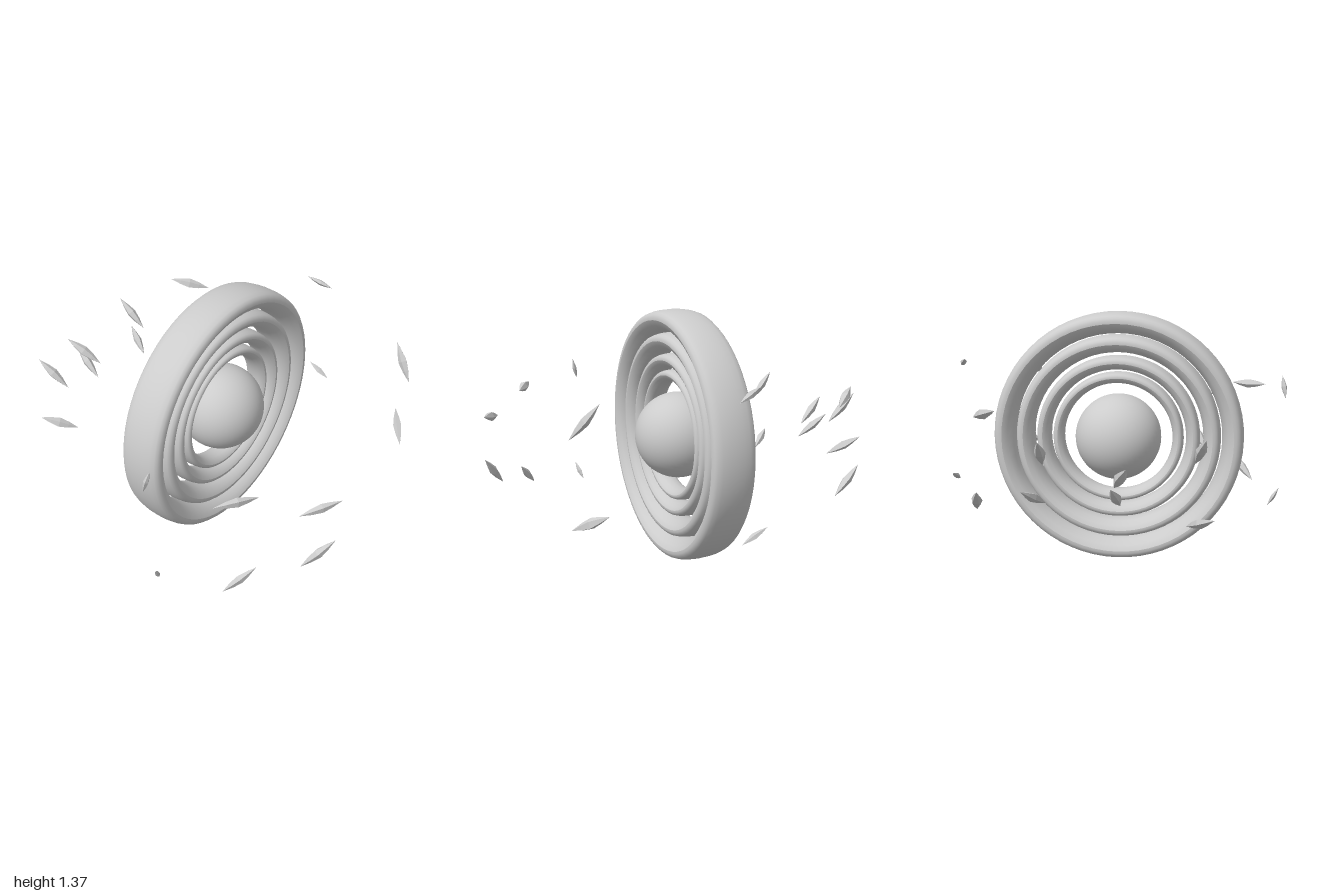
import * as THREE from 'three';

const grey = new THREE.MeshStandardMaterial({ color: 0xcccccc });
grey.name = 'grey';
const facetedGrey = grey.clone();
facetedGrey.flatShading = true;

// Ring cross-sections as [radius, depth] for the largest ring
const outerProfile = [
  [0.628, -0.118], [0.642, -0.118], [0.656, -0.112], [0.668, -0.1], [0.676, -0.075], [0.681, -0.04], [0.683, 0],
  [0.681, 0.04], [0.676, 0.075], [0.668, 0.1], [0.656, 0.112], [0.642, 0.118], [0.628, 0.118],
];
const innerProfile = [
  [0.628, 0.118], [0.598, 0.1], [0.575, 0.06], [0.566, 0],
  [0.575, -0.06], [0.598, -0.1], [0.628, -0.118],
];

function spun(profile, scale, name) {
  const pts = profile.map(([r, d]) => new THREE.Vector2(r * scale, d * scale));
  const geo = new THREE.LatheGeometry(pts, 64);
  geo.rotateX(Math.PI / 2);
  const mesh = new THREE.Mesh(geo, grey);
  mesh.name = name;
  return mesh;
}

function ring(radius, name) {
  const g = new THREE.Group();
  g.name = name;
  const s = radius / 0.683;
  g.add(spun(outerProfile, s, 'ringOuterFace'), spun(innerProfile, s, 'ringInnerFace'));
  return g;
}

// Faceted spindle of unit length along y
const shardGeometry = new THREE.LatheGeometry(
  [[0, -0.5], [0.085, -0.22], [0.125, 0.02], [0.08, 0.24], [0, 0.5]].map(([r, y]) => new THREE.Vector2(r, y)), 5);

function shard(a, b) {
  const start = new THREE.Vector3(...a), end = new THREE.Vector3(...b);
  const dir = end.clone().sub(start), length = dir.length();
  const mesh = new THREE.Mesh(shardGeometry, facetedGrey);
  mesh.name = 'shard';
  mesh.position.copy(start).add(end).multiplyScalar(0.5);
  mesh.quaternion.setFromUnitVectors(new THREE.Vector3(0, 1, 0), dir.normalize());
  mesh.scale.set(length, length, length * 0.8);
  return mesh;
}

// Tip-to-tip placement of the floating shards
const shardEnds = [
  [[-0.935, 0.87, 0.28], [-0.915, 0.995, 0.31]],
  [[-0.92, 0.34, 0.31], [-0.855, 0.24, 0.28]],
  [[-0.84, 0.89, 0.61], [-0.645, 0.88, 0.725]],
  [[-0.78, 0.29, 0.62], [-0.655, 0.43, 0.73]],
  [[-0.545, 0.775, 0.88], [-0.365, 0.81, 1]],
  [[-0.5, 0.4, 0.88], [-0.39, 0.57, 1]],
  [[0.55, 0.88, 0.835], [0.615, 1.05, 0.705]],
  [[0.555, 0.45, 0.835], [0.715, 0.55, 0.705]],
  [[0.825, 1.105, 0], [0.875, 1.05, 0.135]],
  [[0.915, 0.457, 0], [0.915, 0.388, 0.135]],
  [[-0.46, 0.74, -0.7], [-0.51, 0.89, -0.855]],
  [[-0.42, 0.43, -0.7], [-0.555, 0.515, -0.855]],
  [[-0.09, 0.645, -0.82], [-0.165, 0.785, -1]],
  [[-0.12, 0.56, -0.82], [-0.095, 0.69, -1]],
  [[0.25, 0.735, -0.78], [0.24, 0.885, -0.95]],
  [[0.24, 0.55, -0.78], [0.32, 0.65, -0.95]],
  [[0.63, 0.91, -0.577], [0.48, 0.98, -0.75]],
  [[0.625, 0.44, -0.577], [0.58, 0.58, -0.75]],
];

export function createModel() {
  const model = new THREE.Group();
  model.name = 'ringedOrb';

  // Orb with four nested rings
  const core = new THREE.Group();
  core.name = 'core';
  core.position.set(-0.02, 0.69, 0.02);
  const orb = new THREE.Mesh(new THREE.SphereGeometry(0.235, 48, 32), grey);
  orb.name = 'orb';
  core.add(orb);
  [0.683, 0.56, 0.447, 0.358].forEach((r, i) => core.add(ring(r, `ring${i + 1}`)));
  model.add(core);

  // Shards floating around the rings
  const shards = new THREE.Group();
  shards.name = 'shards';
  shardEnds.forEach(([a, b]) => shards.add(shard(a, b)));
  model.add(shards);

  return model;
}
